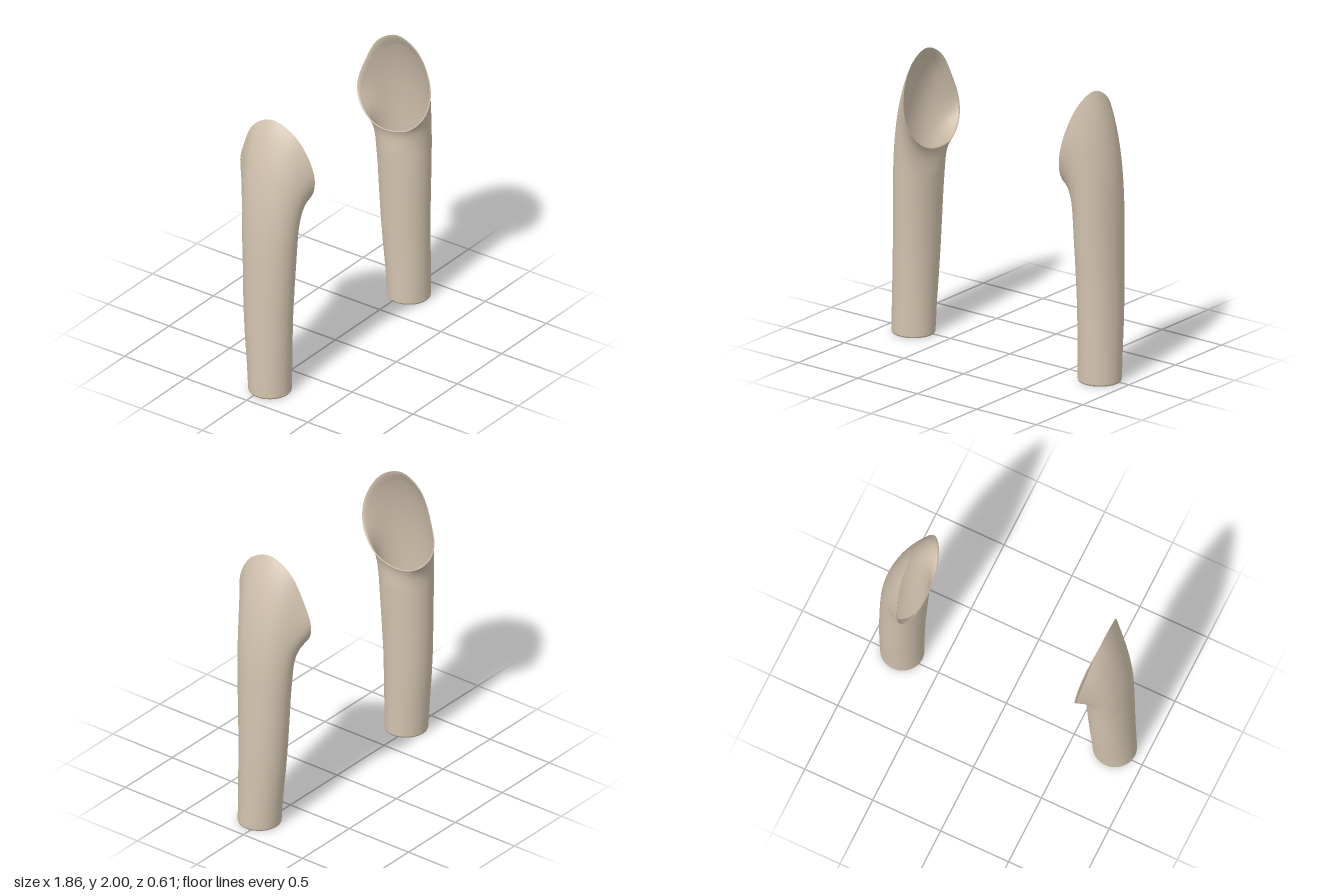
import * as THREE from 'three';

const SIDES = 64;

// Straight part of the sleeve: y, inner x, outer x, back z, front z
const TUBE = [
  [0.01, 0.635, 0.93, -0.11, 0.18],
  [0.2, 0.633, 0.928, -0.125, 0.181],
  [0.4, 0.628, 0.925, -0.145, 0.183],
  [0.6, 0.622, 0.922, -0.16, 0.186],
  [0.8, 0.615, 0.917, -0.17, 0.195],
  [1.0, 0.607, 0.912, -0.178, 0.205],
  [1.15, 0.602, 0.905, -0.19, 0.213],
];

// Oval shoulder opening, z and y, every 30 degrees from its top
const RIM = [
  [0, 2.0], [0.16, 1.94], [0.265, 1.8], [0.305, 1.64], [0.27, 1.49], [0.16, 1.37],
  [0, 1.325], [-0.15, 1.345], [-0.26, 1.43], [-0.3, 1.55], [-0.255, 1.73], [-0.155, 1.92],
].map(([z, y]) => {
  const bend = (z < 0 ? 0.03 : 0.012) * (z / 0.3) ** 2;
  return new THREE.Vector3(0.59 + (y - 1.325) * 0.165 + bend, y, z);
});
const rimCurve = new THREE.CatmullRomCurve3(RIM, true, 'centripetal');
const rimCentre = new THREE.Vector3(0.645, 1.65, 0);

function tubePoint([y, x0, x1, z0, z1], a, inset = 0) {
  return new THREE.Vector3(
    (x0 + x1) / 2 + ((x1 - x0) / 2 - inset) * Math.cos(a), y,
    (z0 + z1) / 2 + ((z1 - z0) / 2 - inset) * Math.sin(a));
}

// Path up the shoulder from the tube to the rim at one angle
function shoulderPath(i) {
  const a = (i / SIDES) * Math.PI * 2;
  const k = (1 + Math.cos(a)) / 2;
  const start = tubePoint(TUBE[TUBE.length - 1], a);
  const end = rimCurve.getPoint(i / SIDES);
  const c1 = start.clone().add(new THREE.Vector3(-0.015 * k, 0.08 + 0.27 * k, 0.012 * Math.sin(a)));
  const c2 = end.clone().add(new THREE.Vector3(0.02 + 0.095 * k, -0.05 - 0.13 * k, -0.06 * Math.sin(a)));
  return new THREE.CubicBezierCurve3(start, c1, c2, end);
}

// Skin closed rings of points
function loft(rings) {
  const pos = [], index = [];
  rings.forEach((ring, r) => ring.forEach((p, i) => {
    pos.push(p.x, p.y, p.z);
    if (r === 0) return;
    const j = (i + 1) % SIDES, lo = (r - 1) * SIDES, hi = r * SIDES;
    index.push(lo + i, hi + i, lo + j, lo + j, hi + i, hi + j);
  }));
  const g = new THREE.BufferGeometry();
  g.setAttribute('position', new THREE.Float32BufferAttribute(pos, 3));
  g.setIndex(index);
  g.computeVertexNormals();
  return g;
}

export function createModel() {
  const cloth = new THREE.MeshStandardMaterial({ color: 0xd2c3ae, side: THREE.DoubleSide });
  cloth.name = 'beige cloth';
  const slots = Array.from({ length: SIDES }, (_, i) => i);
  const angle = (i) => (i / SIDES) * Math.PI * 2;
  const paths = slots.map(shoulderPath);

  // Sleeve body: tube rings, then shoulder rings up to the rim
  const body = TUBE.map((row) => slots.map((i) => tubePoint(row, angle(i))));
  const STEPS = 20;
  for (let s = 1; s <= STEPS; s++) body.push(paths.map((p) => p.getPoint(s / STEPS)));
  const bodyGeometry = loft(body);

  // Rolled lip just inside the opening
  const lip = [[0, 0], [0.012, 0.007], [0.04, 0.012], [0.12, 0.01]].map(([t, inset]) =>
    paths.map((p) => {
      const q = p.getPoint(1 - t);
      return q.add(rimCentre.clone().sub(q).setLength(inset));
    }));
  const lipGeometry = loft(lip);

  // Narrow hem turned in at the cuff
  const hem = [[0.01, 0], [0, 0.004], [0.004, 0.009], [0.03, 0.008]].map(([y, inset]) =>
    slots.map((i) => tubePoint([y, ...TUBE[0].slice(1)], angle(i), inset)));
  const hemGeometry = loft(hem);

  const model = new THREE.Group();
  model.name = 'sleeves';
  for (const [name, side] of [['leftSleeve', 1], ['rightSleeve', -1]]) {
    const sleeve = new THREE.Group();
    sleeve.name = name;
    for (const [part, geometry] of [['sleeveBody', bodyGeometry], ['openingLip', lipGeometry], ['cuffHem', hemGeometry]]) {
      const mesh = new THREE.Mesh(geometry, cloth);
      mesh.name = part;
      sleeve.add(mesh);
    }
    sleeve.scale.x = side;
    model.add(sleeve);
  }
  return model;
}
